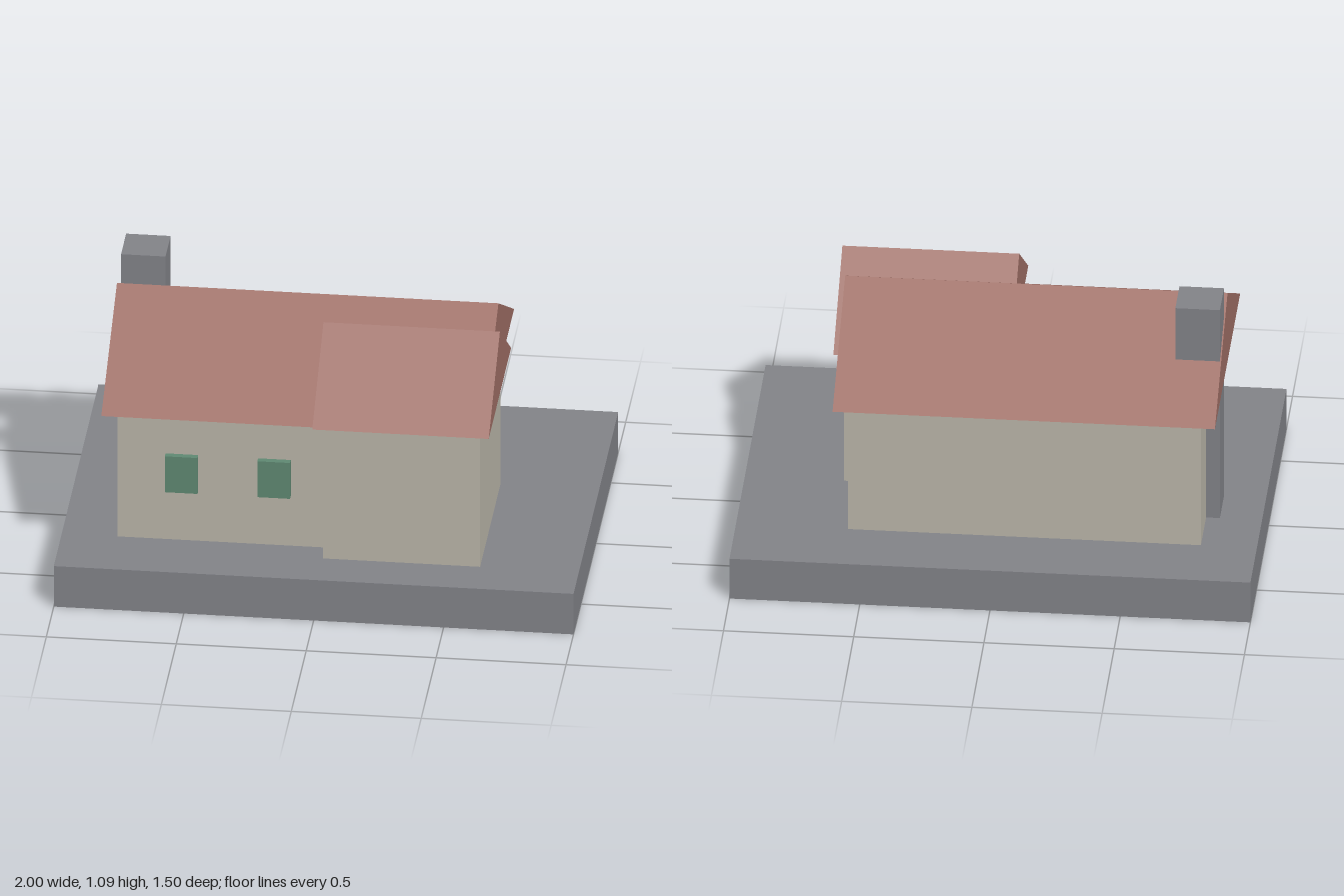
import * as THREE from 'three';

const paint = (name, color) => {
  const m = new THREE.MeshStandardMaterial({ color });
  m.name = name;
  return m;
};

export function createModel() {
  const house = new THREE.Group();
  house.name = 'house';
  const stone = paint('stone grey', 0x838489);
  const plaster = paint('warm plaster', 0xbcb7aa);
  const tile = paint('terracotta tile', 0x9e6e65);
  const green = paint('window green', 0x608a73);

  const add = (name, geometry, material) => {
    const mesh = new THREE.Mesh(geometry, material);
    mesh.name = name;
    house.add(mesh);
    return mesh;
  };

  // Box given by its limits on each axis
  const block = (name, material, [x0, x1], [y0, y1], [z0, z1]) =>
    add(name, new THREE.BoxGeometry(x1 - x0, y1 - y0, z1 - z0), material)
      .position.set((x0 + x1) / 2, (y0 + y1) / 2, (z0 + z1) / 2);

  // Closed gable prism with its ridge along x
  const gable = (name, [x0, x1], [y0, y1], [z0, z1]) => {
    const section = new THREE.Shape([
      new THREE.Vector2(-z1, y0),
      new THREE.Vector2(-z0, y0),
      new THREE.Vector2(-(z0 + z1) / 2, y1),
    ]);
    const g = new THREE.ExtrudeGeometry(section, { depth: x1 - x0, bevelEnabled: false });
    g.rotateY(Math.PI / 2);
    add(name, g, tile).position.x = x0;
  };

  block('foundationSlab', stone, [-1, 1], [0, 0.175], [-0.75, 0.75]);

  // Main house
  block('mainWalls', plaster, [-0.785, 0.57], [0.175, 0.717], [-0.48, 0.48]);
  gable('mainRoof', [-0.843, 0.625], [0.715, 1.015], [-0.527, 0.525]);

  // Front wing
  block('wingWalls', plaster, [0.015, 0.62], [0.175, 0.752], [-0.11, 0.57]);
  gable('wingRoof', [-0.022, 0.657], [0.748, 1.015], [-0.147, 0.605]);

  block('chimney', stone, [-0.838, -0.667], [0.175, 1.09], [-0.265, -0.095]);

  // Shuttered front windows
  for (const x of [-0.538, -0.182])
    block('frontWindow', green, [x - 0.063, x + 0.063], [0.39, 0.545], [0.47, 0.505]);

  return house;
}
